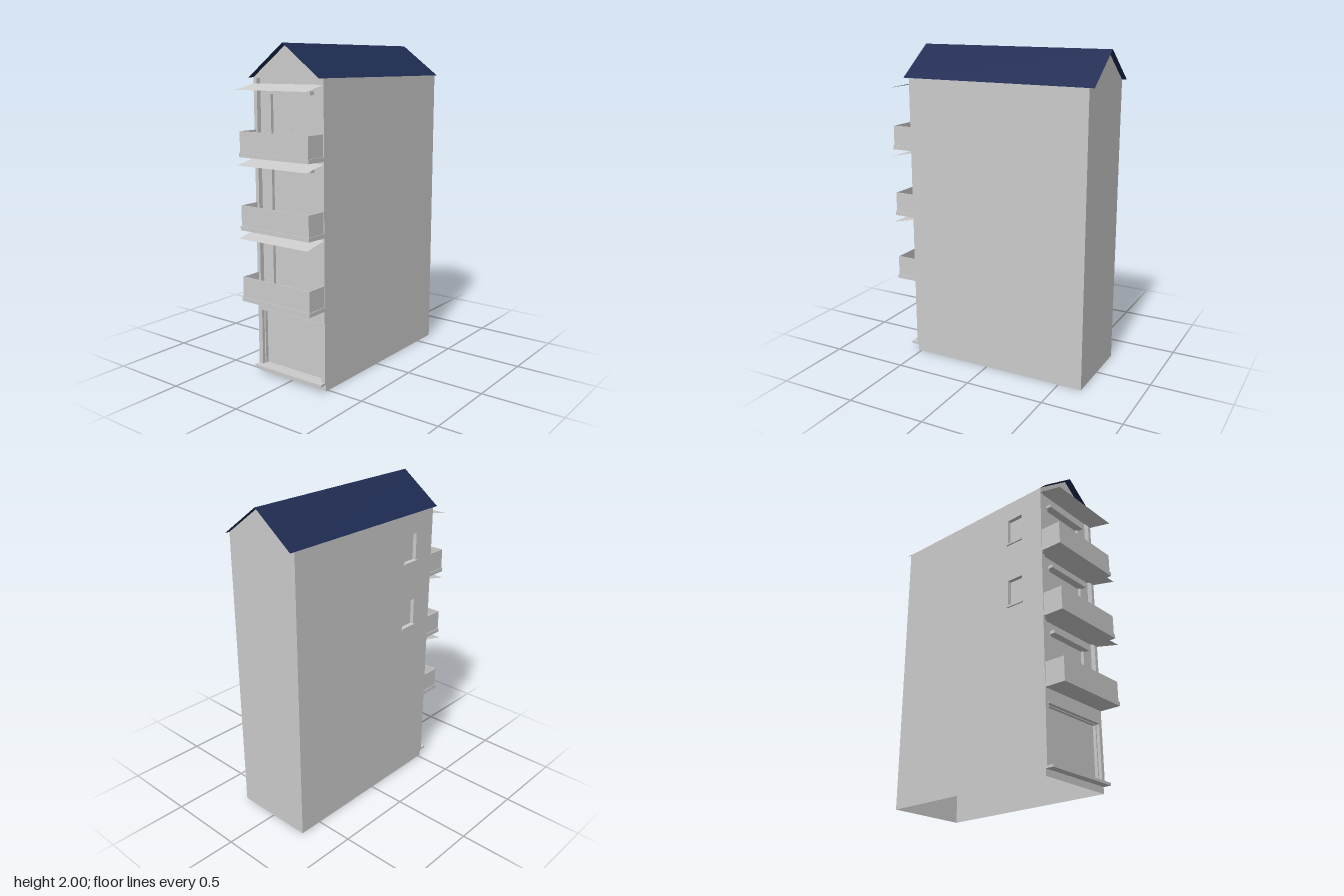
import * as THREE from 'three';

const grey = new THREE.MeshStandardMaterial({ color: 0xcccccc, side: THREE.DoubleSide });
const blue = new THREE.MeshStandardMaterial({ color: 0x1f2c52, side: THREE.DoubleSide });

const W = 0.26, EAVE = 1.808, RIDGE = 2, FRONT = 0.53, BACK = -0.65, BAY = 0.5;
const FLOORS = [0, 1, 2].map((i) => 0.49 + i * 0.4325);

function add(parent, name, geometry, material = grey) {
  const mesh = new THREE.Mesh(geometry, material);
  mesh.name = name;
  parent.add(mesh);
  return mesh;
}

// Box given by its two opposite corners
function box(x0, x1, y0, y1, z0, z1) {
  return new THREE.BoxGeometry(x1 - x0, y1 - y0, z1 - z0)
    .translate((x0 + x1) / 2, (y0 + y1) / 2, (z0 + z1) / 2);
}

// Box lining a recess: front open, and the back too when wanted
function recess(x0, x1, y0, y1, z0, z1, openBack = false) {
  const g = box(x0, x1, y0, y1, z0, z1);
  const index = Array.from(g.index.array);
  g.setIndex(openBack ? index.slice(0, 24) : [...index.slice(0, 24), ...index.slice(30)]);
  g.clearGroups();
  return g;
}

const rect = (x0, x1, y0, y1) =>
  [[x0, y0], [x1, y0], [x1, y1], [x0, y1]].map(([x, y]) => new THREE.Vector2(x, y));

// Flat wall with rectangular holes, facing +z
function wall(points, holes = []) {
  const shape = new THREE.Shape(points.map((p) => (p.isVector2 ? p : new THREE.Vector2(...p))));
  for (const h of holes) shape.holes.push(new THREE.Path(rect(...h)));
  return new THREE.ShapeGeometry(shape);
}

// Flat four-cornered sheet
function sheet(a, b, c, d) {
  const g = new THREE.BufferGeometry();
  g.setAttribute('position', new THREE.Float32BufferAttribute([...a, ...b, ...c, ...a, ...c, ...d], 3));
  g.computeVertexNormals();
  return g;
}

function addShell(group) {
  // Side walls, the right one pierced by two small windows
  const profile = [[BACK, 0], [0.52, 0], [0.52, 0.04], [FRONT, 0.04], [FRONT, EAVE], [BACK, EAVE]];
  const sideWindows = FLOORS.slice(1).map((y) => [0.265, 0.375, y + 0.15, y + 0.325]);
  add(group, 'leftWall', wall(profile).rotateY(-Math.PI / 2).translate(W, 0, 0));
  add(group, 'rightWall', wall(profile, sideWindows).rotateY(-Math.PI / 2).translate(-W, 0, 0));
  for (const [z0, z1, y0, y1] of sideWindows) {
    add(group, 'sideWindow', recess(z0, z1, y0, y1, W - 0.025, W).rotateY(-Math.PI / 2));
    add(group, 'sideWindowSill', box(-0.27, -W + 0.02, y0 - 0.008, y0 + 0.004, 0.26, 0.38));
  }

  // Back wall with its gable, and the front facade
  const gable = [[W, EAVE], [0, RIDGE - 0.002], [-W, EAVE]];
  add(group, 'backWall', wall([[-W, 0], [W, 0], ...gable]).translate(0, 0, BACK));
  const openings = [[-0.23, 0.235, 0.055, 0.41], [-0.235, 0.235, 0.495, EAVE - 0.003]];
  add(group, 'frontWall', wall([[-W, 0.04], [W, 0.04], ...gable], openings).translate(0, 0, FRONT));

  // Tall bay between the corner piers, with a window on each floor
  const windows = FLOORS.map((y) => [-0.155, 0.157, y + 0.03, y + 0.365]);
  add(group, 'bayLining', recess(...openings[1], BAY, FRONT, true));
  add(group, 'bayWall', wall(rect(...openings[1]), windows).translate(0, 0, BAY));
  for (const w of windows) add(group, 'frontWindow', recess(...w, BAY - 0.02, BAY));

  // Roof slopes overhanging both gables
  for (const s of [-1, 1]) {
    const slope = [[0, RIDGE, -0.68], [0, RIDGE, 0.57], [s * W, EAVE, 0.57], [s * W, EAVE, -0.68]];
    add(group, 'roofSlope', sheet(...(s > 0 ? slope : slope.reverse())), blue);
  }
}

function addGroundFloor(group) {
  add(group, 'plinth', wall(rect(-W, W, 0, 0.045)).translate(0, 0, 0.52));
  add(group, 'doorstep', box(-W, W, 0.04, 0.055, 0.51, 0.57));
  add(group, 'shopfront', recess(-0.23, 0.235, 0.055, 0.41, BAY - 0.01, FRONT));
  // Slim frame around the shopfront
  const outer = new THREE.Shape(rect(-0.23, 0.235, 0.055, 0.41));
  outer.holes.push(new THREE.Path(rect(-0.222, 0.227, 0.056, 0.4)));
  add(group, 'shopfrontFrame', new THREE.ExtrudeGeometry(outer, { depth: 0.02, bevelEnabled: false })
    .translate(0, 0, BAY - 0.01));
  add(group, 'shopfrontLintel', box(-0.235, 0.24, 0.405, 0.414, BAY, FRONT + 0.003));
}

function addFloor(group, y) {
  const floor = new THREE.Group();
  floor.name = 'upperFloor';
  floor.position.y = y;
  group.add(floor);
  // Balcony: slab with a thin parapet on three sides
  add(floor, 'balconySlab', box(-W, W, 0, 0.025, BAY, 0.665));
  add(floor, 'balconyFront', box(-0.255, 0.255, 0.025, 0.15, 0.655, 0.66));
  for (const s of [-1, 1]) {
    add(floor, 'balconySide', box(s * 0.2525 - 0.0025, s * 0.2525 + 0.0025, 0.025, 0.15, FRONT, 0.655));
  }
  // Window head and sloping sheet awning
  add(floor, 'windowLintel', box(-0.165, 0.167, 0.36, 0.38, BAY, FRONT + 0.004));
  add(floor, 'awning', sheet([-W, 0.385, 0.68], [W, 0.385, 0.68], [W, 0.418, FRONT], [-W, 0.418, FRONT]));
}

export function createModel() {
  const group = new THREE.Group();
  group.name = 'townhouse';
  addShell(group);
  addGroundFloor(group);
  for (const y of FLOORS) addFloor(group, y);
  return group;
}
